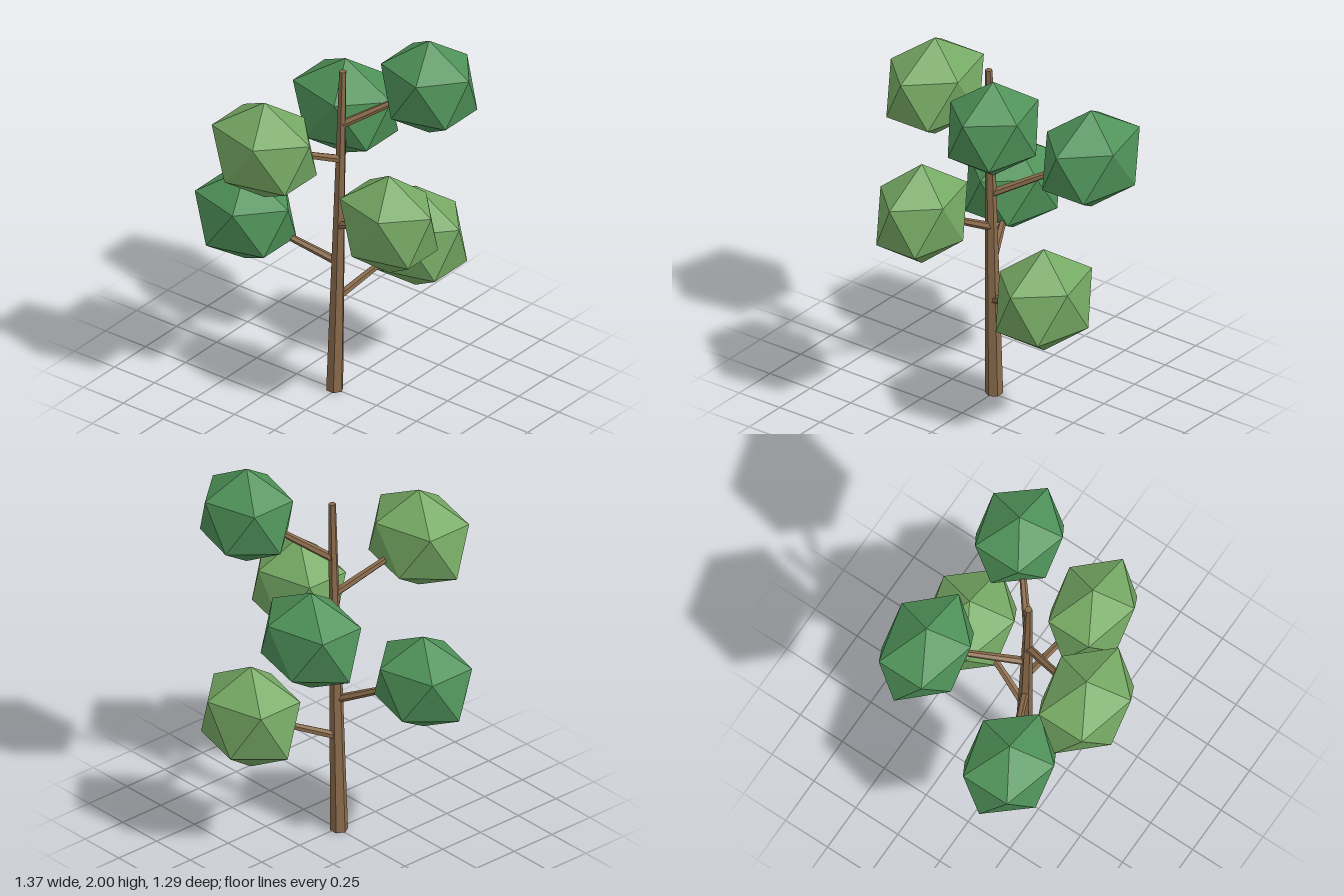
import * as THREE from 'three';

const material = (color) => new THREE.MeshStandardMaterial({ color, flatShading: true });
const UP = new THREE.Vector3(0, 1, 0);

// Hexagonal, tapered limb running from one point to another
function limb(name, from, to, r0, r1, mat) {
  const dir = to.clone().sub(from);
  const geo = new THREE.CylinderGeometry(r1, r0, dir.length(), 6);
  geo.rotateY(Math.PI / 6);
  const mesh = new THREE.Mesh(geo, mat);
  mesh.name = name;
  mesh.position.copy(from).addScaledVector(dir, 0.5);
  mesh.quaternion.setFromUnitVectors(UP, dir.normalize());
  return mesh;
}

export function createModel() {
  const tree = new THREE.Group();
  tree.name = 'tree';
  const bark = material(0x8a6b4c);
  const lightLeaf = material(0x76a964);
  const darkLeaf = material(0x4f9259);

  // Slightly leaning trunk
  const base = new THREE.Vector3(-0.012, 0, 0);
  const tip = new THREE.Vector3(0.036, 1.835, -0.003);
  tree.add(limb('trunk', base, tip, 0.045, 0.019, bark));

  // Icosahedron turned so that one corner points straight up
  const leafGeo = new THREE.IcosahedronGeometry(1, 0);
  leafGeo.rotateZ(-Math.atan(2 / (1 + Math.sqrt(5))));

  // Leaf clusters, spiralling upwards: centre, half extents, colour
  const clusters = [
    [[0.155, 0.737, -0.435], [0.274, 0.284, 0.211], lightLeaf],
    [[-0.42, 0.944, 0.192], [0.267, 0.255, 0.212], darkLeaf],
    [[0.42, 1.154, 0.12], [0.265, 0.278, 0.194], lightLeaf],
    [[-0.263, 1.342, -0.41], [0.285, 0.27, 0.206], darkLeaf],
    [[-0.11, 1.538, 0.44], [0.283, 0.27, 0.208], lightLeaf],
    [[0.362, 1.737, -0.278], [0.25, 0.263, 0.207], darkLeaf],
  ];
  for (const [c, h, mat] of clusters) {
    const centre = new THREE.Vector3(...c);
    const leaf = new THREE.Mesh(leafGeo, mat);
    leaf.name = 'leafCluster';
    leaf.position.copy(centre);
    leaf.scale.set(h[0] / 0.894, h[1], h[2] / 0.851);
    tree.add(leaf);

    // Branch from the trunk's axis into the cluster
    const start = base.clone().lerp(tip, (centre.y - 0.21) / tip.y);
    tree.add(limb('branch', start, centre, 0.022, 0.015, bark));
  }
  return tree;
}
